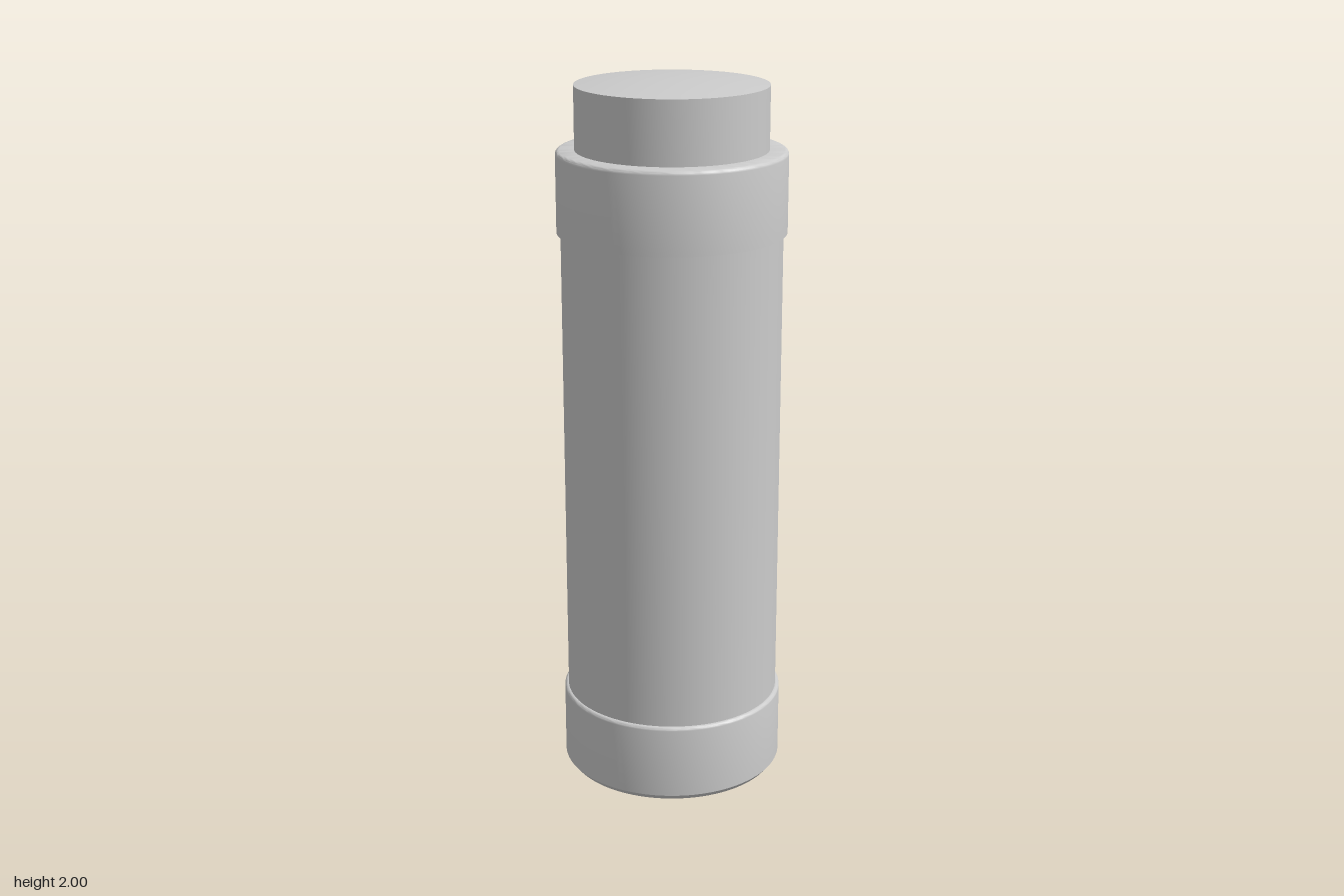
import * as THREE from 'three';
import { toCreasedNormals } from 'three/addons/utils/BufferGeometryUtils.js';

const material = new THREE.MeshStandardMaterial({ color: 0xcccccc });

// Revolves a bottom-to-top [radius, height] profile, keeping hard edges sharp
function turned(name, profile) {
  const points = profile.map(([r, y]) => new THREE.Vector2(r, y));
  const geometry = toCreasedNormals(new THREE.LatheGeometry(points, 96), 0.6);
  const mesh = new THREE.Mesh(geometry, material);
  mesh.name = name;
  return mesh;
}

// Quarter-round corner from a vertical wall of radius r up to height top
function roundedShoulder(r, top, bevel, steps = 4) {
  return Array.from({ length: steps + 1 }, (_, i) => {
    const a = (i / steps) * Math.PI / 2;
    return [r - bevel * (1 - Math.cos(a)), top - bevel * (1 - Math.sin(a))];
  });
}

export function createModel() {
  const model = new THREE.Group();
  model.name = 'cylindricalCanister';

  // Base ring with a chamfered foot
  model.add(turned('baseRing', [
    [0, 0], [0.303, 0], [0.316, 0.016],
    ...roundedShoulder(0.316, 0.23, 0.01), [0.29, 0.23],
  ]));

  // Long straight barrel
  model.add(turned('barrel', [[0.305, 0.2], [0.305, 1.62]]));

  // Upper collar, flat underneath with a softened top edge
  model.add(turned('collar', [
    [0.29, 1.585], [0.316, 1.585],
    ...roundedShoulder(0.316, 1.81, 0.012), [0.25, 1.81],
  ]));

  // Narrower button with a shallow domed top
  const dome = Array.from({ length: 9 }, (_, i) => {
    const r = 0.264 * (1 - i / 8);
    return [r, 2 - 0.016 * (r / 0.264) ** 2];
  });
  model.add(turned('topButton', [[0.264, 1.79], ...dome]));

  return model;
}
